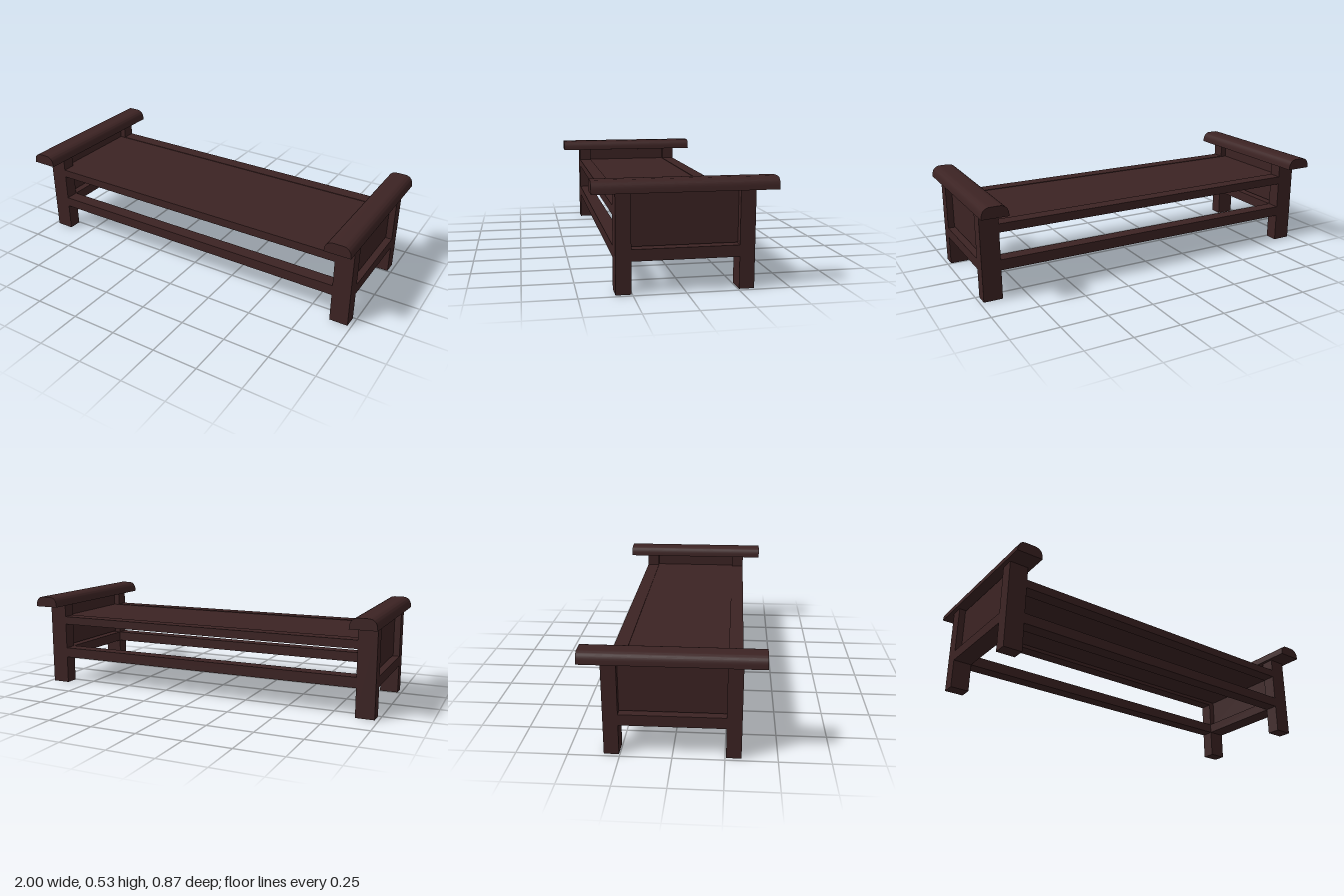
import * as THREE from 'three';
import { toCreasedNormals } from 'three/addons/utils/BufferGeometryUtils.js';

export function createModel() {
  const model = new THREE.Group();
  model.name = 'bench';
  const wood = new THREE.MeshStandardMaterial({ color: 0x3c2323 });
  wood.name = 'dark wood';

  // Box given by its min and max corners
  function block(name, [x0, y0, z0], [x1, y1, z1]) {
    const mesh = new THREE.Mesh(new THREE.BoxGeometry(x1 - x0, y1 - y0, z1 - z0), wood);
    mesh.position.set((x0 + x1) / 2, (y0 + y1) / 2, (z0 + z1) / 2);
    mesh.name = name;
    model.add(mesh);
  }

  const legIn = 0.88, legOut = 0.98, zIn = 0.255, zOut = 0.328;

  // Domed armrest profile, flat underneath
  const profile = new THREE.Shape();
  profile.moveTo(-0.07, 0);
  profile.lineTo(0.07, 0);
  profile.lineTo(0.068, 0.02);
  profile.bezierCurveTo(0.064, 0.043, 0.05, 0.057, 0.025, 0.058);
  profile.lineTo(-0.025, 0.058);
  profile.bezierCurveTo(-0.05, 0.057, -0.064, 0.043, -0.068, 0.02);
  profile.closePath();
  const armGeometry = toCreasedNormals(
    new THREE.ExtrudeGeometry(profile, { depth: 0.872, bevelEnabled: false, curveSegments: 8 }), 0.6);
  armGeometry.translate(0, 0, -0.436);

  for (const s of [-1, 1]) {
    const span = (a, b) => (s > 0 ? [a, b] : [-b, -a]);
    const [a, b] = span(legIn, legOut);

    // Legs of this end
    for (const t of [-1, 1]) {
      const [z0, z1] = t > 0 ? [zIn, zOut] : [-zOut, -zIn];
      block('leg', [a, 0, z0], [b, 0.47, z1]);
    }

    // Low end rail and recessed end panel, with narrow gaps above and below
    block('endRail', [a, 0.155, -zIn], [b, 0.211, zIn]);
    const [p, q] = span(0.915, 0.945);
    block('endPanel', [p, 0.216, -zIn], [q, 0.464, zIn]);

    const arm = new THREE.Mesh(armGeometry, wood);
    arm.name = 'armrest';
    arm.position.set(s * 0.93, 0.47, 0);
    model.add(arm);

    // Long rails at the front and back
    const [z0, z1] = span(zIn, zOut);
    block('lowerRail', [-legIn, 0.155, z0], [legIn, 0.211, z1]);
    block('seatRail', [-legIn, 0.355, z0], [legIn, 0.4, z1]);
  }

  // Seat board between the seat rails
  block('seat', [-0.915, 0.375, -zIn], [0.915, 0.397, zIn]);

  return model;
}
